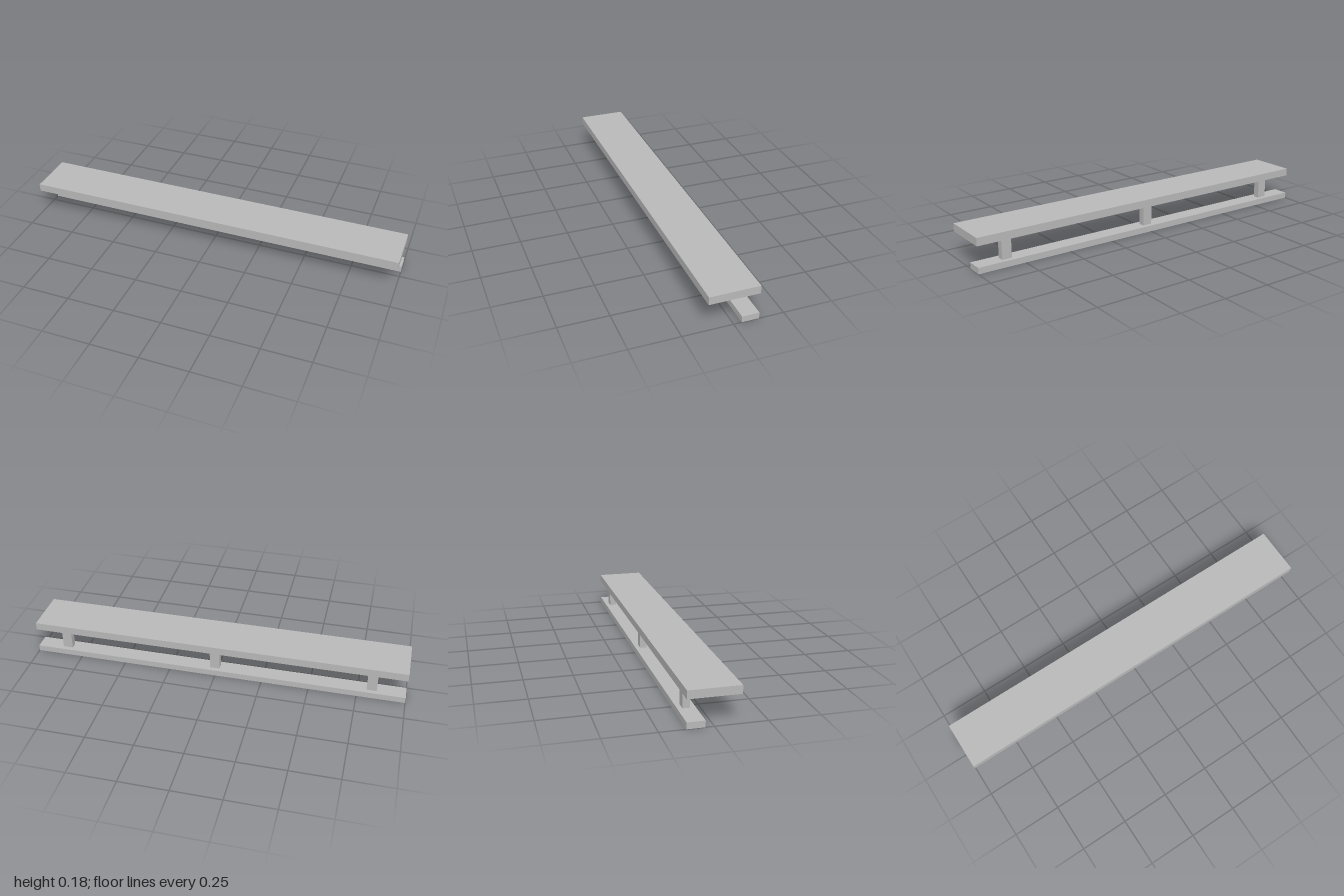
import * as THREE from 'three';

export function createModel() {
  const model = new THREE.Group();
  const grey = new THREE.MeshStandardMaterial({ color: 0xb8b8b8 });
  grey.name = 'plain grey';

  // Box given by its extents along each axis
  function addBox(name, [x0, x1], [y0, y1], [z0, z1]) {
    const mesh = new THREE.Mesh(new THREE.BoxGeometry(x1 - x0, y1 - y0, z1 - z0), grey);
    mesh.position.set((x0 + x1) / 2, (y0 + y1) / 2, (z0 + z1) / 2);
    mesh.name = name;
    model.add(mesh);
  }

  // Wide top board and narrow bottom rail, flush at the back
  addBox('topBoard', [-1, 1], [0.139, 0.18], [-0.126, 0.126]);
  addBox('bottomRail', [-1, 1], [0, 0.032], [-0.126, -0.04]);

  // Three posts between them, set slightly toward the left end
  const posts = { rightPost: -0.825, middlePost: 0.007, leftPost: 0.838 };
  for (const [name, x] of Object.entries(posts)) {
    addBox(name, [x - 0.026, x + 0.026], [0.032, 0.139], [-0.102, -0.067]);
  }

  return model;
}
